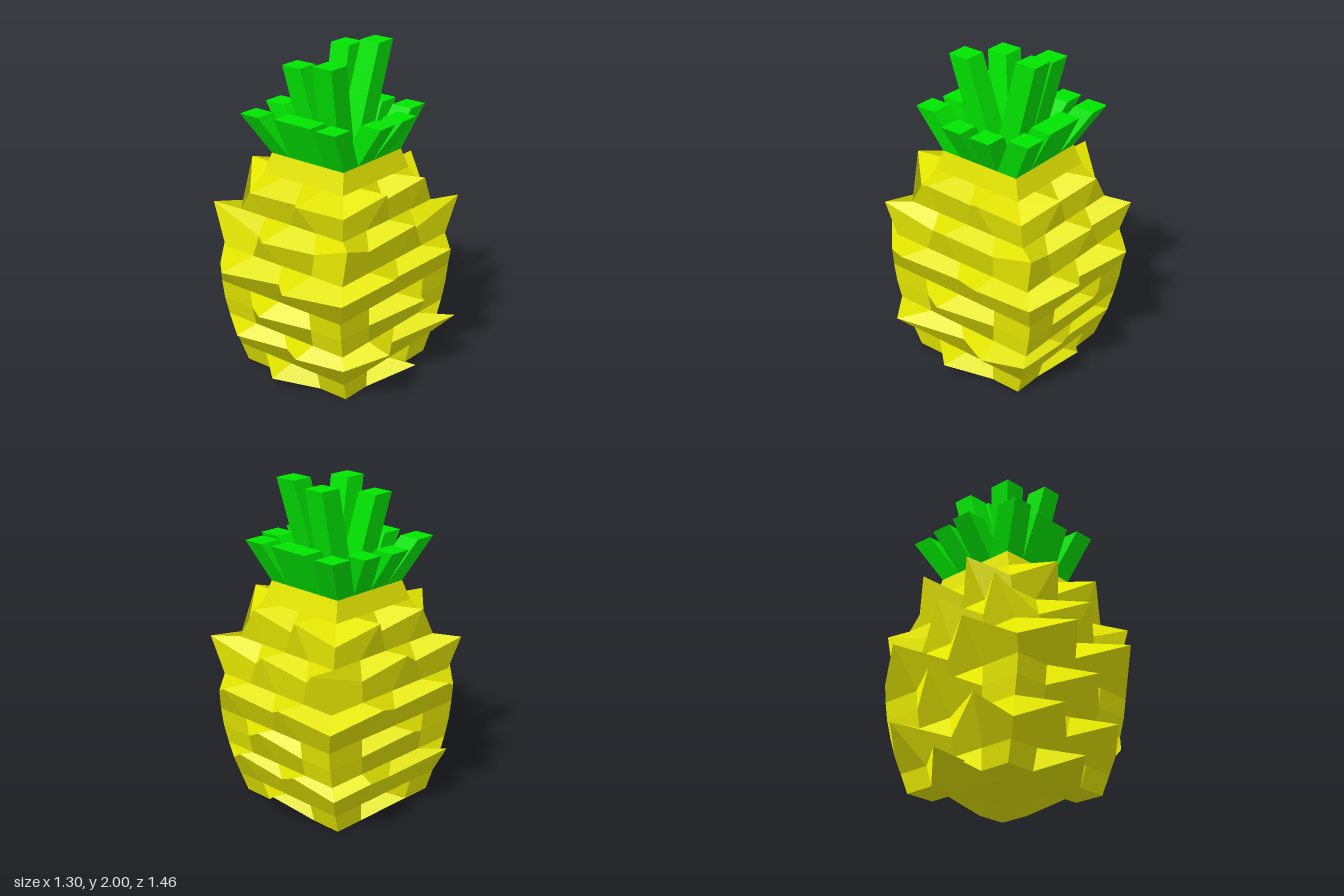
import * as THREE from 'three';

const CX = -0.01, CZ = -0.03;

// Body rings from bottom to top: [height, half width, half depth]
const RINGS = [
  [0, 0.39, 0.39], [0.12, 0.41, 0.43], [0.23, 0.43, 0.465], [0.34, 0.445, 0.49],
  [0.455, 0.455, 0.515], [0.57, 0.46, 0.53], [0.68, 0.47, 0.53], [0.79, 0.45, 0.5],
  [0.905, 0.425, 0.46], [1.02, 0.39, 0.42], [1.13, 0.355, 0.375], [1.24, 0.3, 0.31],
  [1.36, 0.27, 0.27],
];

// Spikes: ring index -> reach in x (around midX) and z, sideways offsets, tip heights (front, others)
const SPIKES = {
  0: { x: 0.587, midX: 0.013, z: 0.57, low: 0.09, high: 0.14 },
  2: { x: 0.627, midX: 0.02, z: 0.62, dx: 0.23, dz: 0.33, low: 0.32, high: 0.36 },
  4: { x: 0.64, midX: 0.01, z: 0.675, low: 0.54, high: 0.585 },
  6: { x: 0.642, midX: -0.008, z: 0.73, dx: 0.23, dz: 0.28, low: 0.77, high: 0.81 },
  8: { x: 0.57, midX: 0, z: 0.635, low: 0.99, high: 1.035 },
  10: { x: 0.513, midX: -0.01, z: 0.54, dx: 0.17, dz: 0.18, low: 1.22, high: 1.26 },
};
// Irregular corner spikes on one tier, ordered like the ring corners
const CORNER_RING = 8;
const CORNERS = [[-0.585, 1.035, 0.43], [0.5, 1.03, 0.5], [0.485, 1.035, -0.59], [-0.41, 1.035, -0.635]];

// Walk a square ring of 16 points: front, right side, back, left side
function ringPoint(r, i) {
  const [y, hx, hz] = RINGS[r];
  const side = Math.floor(i / 4), step = i % 4, t = step / 2 - 1;
  const [ux, uz] = [[t, 1], [1, -t], [-t, -1], [-1, t]][side];
  const s = SPIKES[r];
  if (r === CORNER_RING && step === 0) return CORNERS[side];
  if (s && step > 0 && (s.dx ? step !== 2 : step === 2)) {
    const tipY = side === 0 ? s.low : s.high;
    return side % 2 === 0
      ? [CX + Math.sign(ux) * (s.dx || 0), tipY, uz * s.z]
      : [s.midX + ux * s.x, tipY, CZ + Math.sign(uz) * (s.dz || 0)];
  }
  return [CX + ux * hx, y, CZ + uz * hz];
}

// Point of the 4 x 4 grid that closes a ring; u and v run from -2 to 2
function capPoint(ring, r, u, v) {
  if (v === 2) return ring[u + 2];
  if (u === 2) return ring[6 - v];
  if (v === -2) return ring[10 - u];
  if (u === -2) return ring[14 + v];
  const [y, hx, hz] = RINGS[r];
  return [CX + (u / 2) * hx, y, CZ + (v / 2) * hz];
}

// Each four-cornered face is shaded as one flat facet, split from its first corner
function facetGeometry(quads) {
  const positions = [], normals = [];
  for (const quad of quads) {
    const [a, b, c, d] = quad.map((p) => new THREE.Vector3(...p));
    const n = c.clone().sub(a).cross(d.clone().sub(b)).normalize();
    for (const p of [a, b, c, a, c, d]) {
      positions.push(p.x, p.y, p.z);
      normals.push(n.x, n.y, n.z);
    }
  }
  const g = new THREE.BufferGeometry();
  g.setAttribute('position', new THREE.Float32BufferAttribute(positions, 3));
  g.setAttribute('normal', new THREE.Float32BufferAttribute(normals, 3));
  return g;
}

function bodyGeometry() {
  const quads = [];
  const rings = RINGS.map((_, r) => Array.from({ length: 16 }, (_, i) => ringPoint(r, i)));
  // Walls and spikes
  for (let r = 0; r < RINGS.length - 1; r++) {
    for (let i = 0; i < 16; i++) {
      const j = (i + 1) % 16;
      quads.push([rings[r][j], rings[r + 1][j], rings[r + 1][i], rings[r][i]]);
    }
  }
  // Top and bottom; the bottom is split through the tips of the lowest spikes
  const last = RINGS.length - 1;
  for (let u = -2; u < 2; u++) {
    for (let v = -2; v < 2; v++) {
      const cell = (r) => [[u, v], [u, v + 1], [u + 1, v + 1], [u + 1, v]]
        .map(([a, b]) => capPoint(rings[r], r, a, b));
      const [a, b, c, d] = cell(0);
      quads.push(cell(last), (u + v) % 2 === 0 ? [c, b, a, d] : [d, c, b, a]);
    }
  }
  return facetGeometry(quads);
}

// Leaves: [first column, row, columns wide, tip centre x, tip height, tip centre z]
const LEAVES = [
  [0, 0, 1, -0.32, 1.62, -0.38], [1, 0, 2, -0.015, 1.62, -0.36], [3, 0, 1, 0.26, 1.62, -0.37],
  [0, 1, 1, -0.36, 1.61, -0.17], [3, 1, 1, 0.35, 1.61, -0.165],
  [0, 2, 1, -0.388, 1.61, 0.025], [3, 2, 1, 0.35, 1.61, 0.04],
  [0, 3, 1, -0.31, 1.62, 0.33], [1, 3, 2, -0.015, 1.62, 0.293], [3, 3, 1, 0.25, 1.625, 0.32],
  [1, 1, 1, -0.107, 1.96, -0.245], [2, 1, 1, 0.088, 2.0, -0.277],
  [1, 2, 1, -0.162, 1.89, 0.128], [2, 2, 1, 0.113, 1.94, 0.183],
];

// A leaf is a box over its cell of a 4 x 4 grid, sheared towards its tip
function leafGeometry([col, row, wide, tx, ty, tz]) {
  const cell = 0.135, base = 1.36;
  const bx = CX + (col + wide / 2 - 2) * cell, bz = CZ + (row - 1.5) * cell;
  const g = new THREE.BoxGeometry(cell * wide, 1, cell);
  const pos = g.attributes.position;
  for (let i = 0; i < pos.count; i++) {
    const isTip = pos.getY(i) > 0;
    pos.setXYZ(i, pos.getX(i) + (isTip ? tx : bx), isTip ? ty : base, pos.getZ(i) + (isTip ? tz : bz));
  }
  g.computeVertexNormals();
  return g;
}

export function createModel() {
  const model = new THREE.Group();
  model.name = 'pineapple';
  const skin = new THREE.MeshStandardMaterial({ color: 0xe4e600 });
  const green = new THREE.MeshStandardMaterial({ color: 0x00e600, flatShading: true });

  const body = new THREE.Mesh(bodyGeometry(), skin);
  body.name = 'spikyBody';
  model.add(body);

  const crown = new THREE.Group();
  crown.name = 'leafCrown';
  LEAVES.forEach((spec) => {
    const leaf = new THREE.Mesh(leafGeometry(spec), green);
    leaf.name = spec[4] > 1.7 ? 'innerLeaf' : 'outerLeaf';
    crown.add(leaf);
  });
  model.add(crown);
  return model;
}
